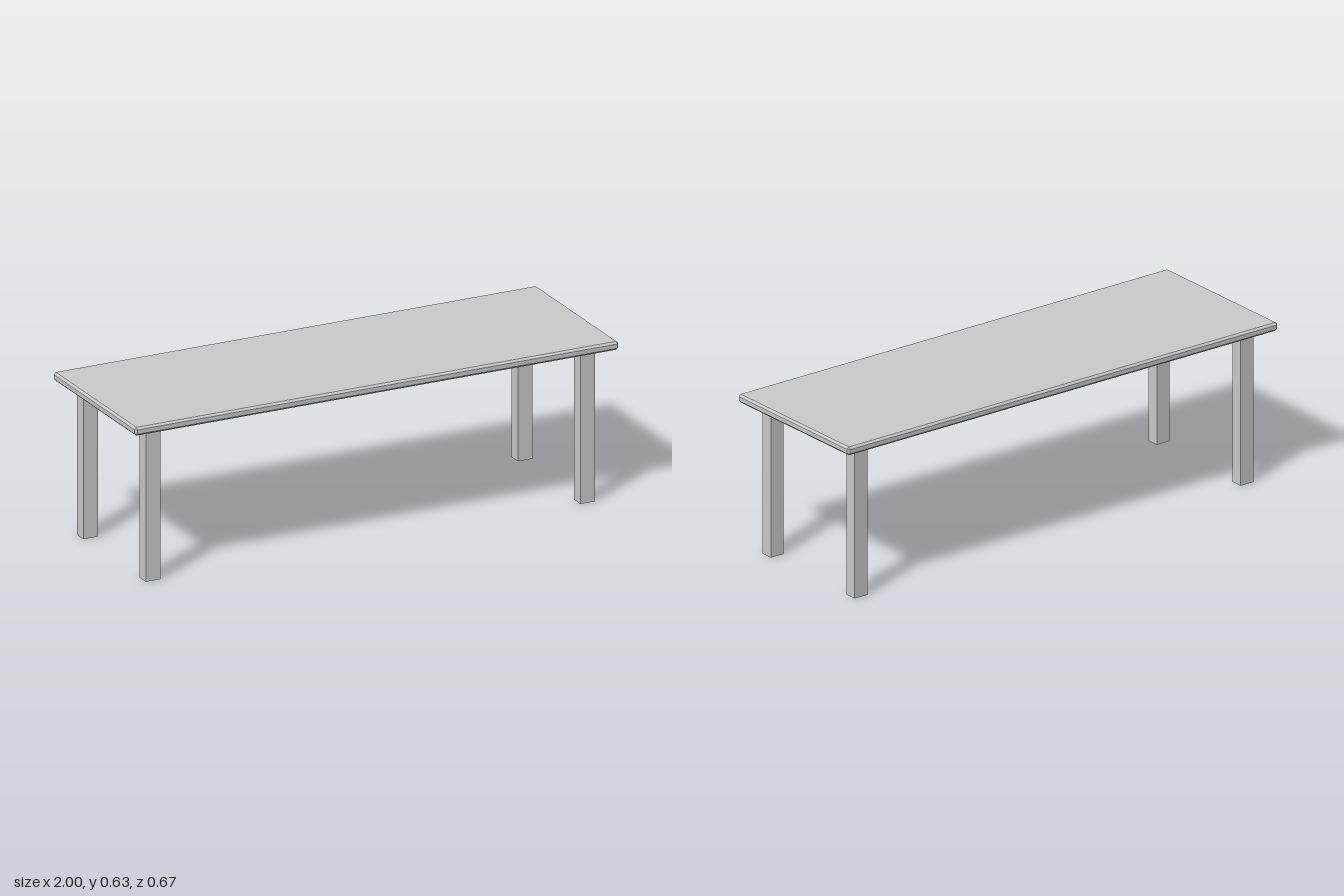
import * as THREE from 'three';
import { ConvexGeometry } from 'three/addons/geometries/ConvexGeometry.js';

// Box with every edge and corner cut by a flat chamfer
function chamferedBox(w, h, d, c) {
  const points = [];
  for (const sx of [-1, 1]) for (const sy of [-1, 1]) for (const sz of [-1, 1]) {
    const x = w / 2, y = h / 2, z = d / 2;
    points.push(
      new THREE.Vector3(sx * x, sy * (y - c), sz * (z - c)),
      new THREE.Vector3(sx * (x - c), sy * y, sz * (z - c)),
      new THREE.Vector3(sx * (x - c), sy * (y - c), sz * z));
  }
  return new ConvexGeometry(points);
}

export function createModel() {
  const table = new THREE.Group();
  table.name = 'table';
  const material = new THREE.MeshStandardMaterial({ color: 0xcccccc, flatShading: true });

  const legHeight = 0.601, topThickness = 0.033;

  // Table top
  const top = new THREE.Mesh(chamferedBox(2, topThickness, 0.667, 0.008), material);
  top.name = 'tableTop';
  top.position.y = legHeight + topThickness / 2;
  table.add(top);

  // Four square legs
  const legGeometry = new THREE.BoxGeometry(0.06, legHeight, 0.05);
  for (const [sx, side] of [[1, 'Left'], [-1, 'Right']]) {
    for (const [sz, end] of [[1, 'front'], [-1, 'back']]) {
      const leg = new THREE.Mesh(legGeometry, material);
      leg.name = `${end}${side}Leg`;
      leg.position.set(sx * 0.898, legHeight / 2, sz * 0.252);
      table.add(leg);
    }
  }
  return table;
}
